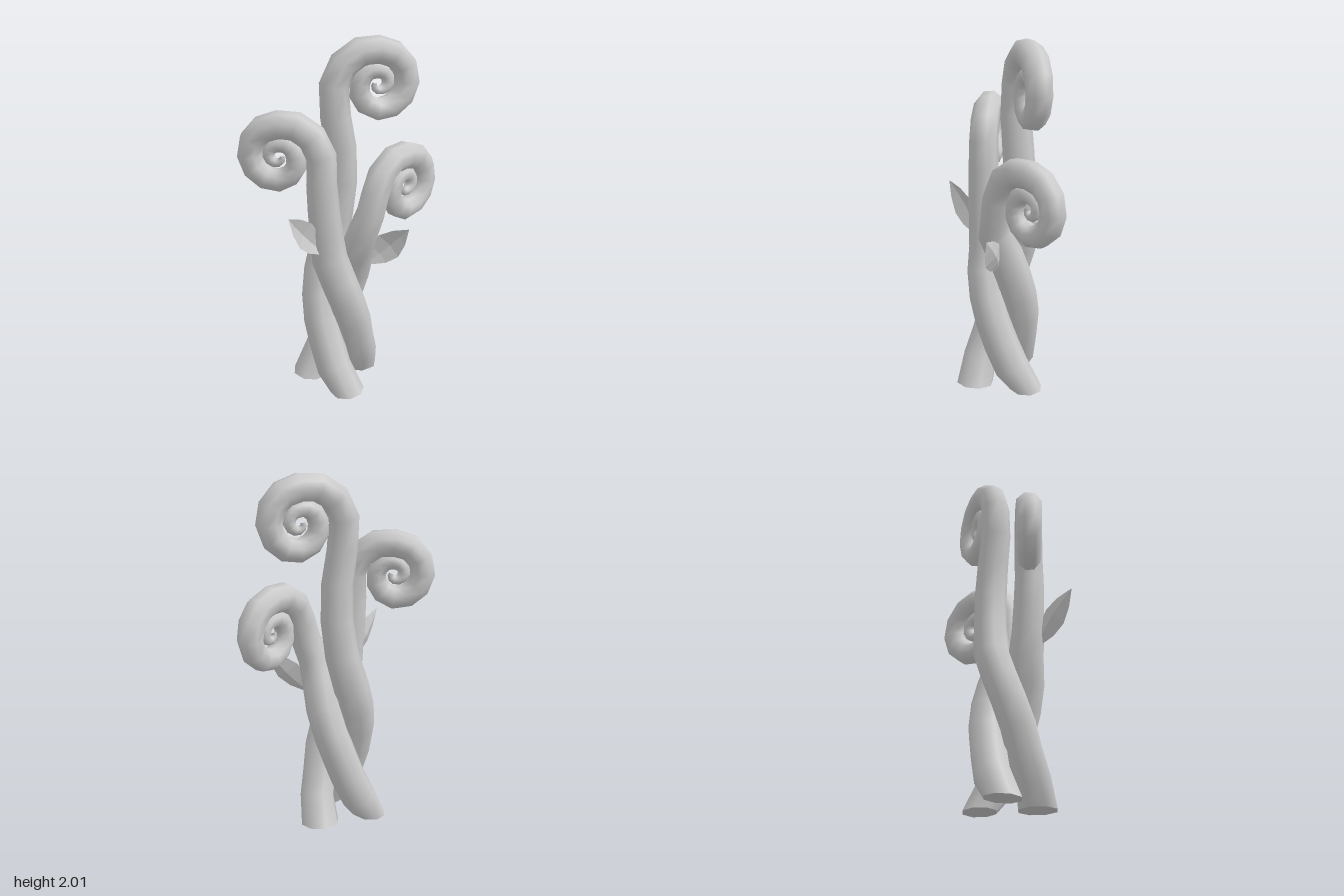
import * as THREE from 'three';

const material = new THREE.MeshStandardMaterial({ color: 0xcccccc });
const leafMaterial = new THREE.MeshStandardMaterial({ color: 0xcccccc, flatShading: true, side: THREE.DoubleSide });
const SIDES = 8;
// Curl radius at every quarter turn, from the outside in
const CURL = [0.24, 0.175, 0.16, 0.143, 0.1, 0.068, 0.055, 0.04, 0.018];
const CURL_STEPS = 24;

// Tube along the points, one ring per point, with its own radius at each ring
function taperedTube(points, radii) {
  const curve = new THREE.CatmullRomCurve3(points);
  curve.getPointAt = curve.getPoint;
  curve.getTangentAt = curve.getTangent;
  const geo = new THREE.TubeGeometry(curve, points.length - 1, 1, SIDES, false);
  const pos = geo.attributes.position;
  const v = new THREE.Vector3();
  for (let i = 0; i < pos.count; i++) {
    const ring = Math.floor(i / (SIDES + 1));
    v.fromBufferAttribute(pos, i).sub(points[ring]).multiplyScalar(radii[ring]).add(points[ring]);
    if (ring === 0) v.y = 0; // foot is cut level with the ground
    pos.setXYZ(i, v.x, v.y, v.z);
  }
  return geo;
}

// Flat cap closing the first ring of a tube
function footCap(tube) {
  const p = tube.attributes.position;
  const ring = [];
  for (let i = 0; i < SIDES; i++) ring.push(new THREE.Vector2(p.getX(i), p.getZ(i)));
  const geo = new THREE.ShapeGeometry(new THREE.Shape(ring));
  geo.rotateX(Math.PI / 2); // faces down
  return geo;
}

// Vine: twisted trunk, free stem, then an inward curl in the plane of "out"
function vine(name, { startAngle, stem, centre, out, scale }) {
  const points = [];
  const radii = [];
  for (let i = 0; i <= 6; i++) {
    const y = i * 0.135;
    const a = THREE.MathUtils.degToRad(startAngle + 200 * y);
    const spread = 0.108 + 0.067 * Math.max(0, 1 - y / 0.24);
    points.push(new THREE.Vector3(-0.04 + spread * Math.cos(a), y, -0.04 + spread * Math.sin(a)));
    radii.push(i === 0 ? 0.11 : 0.1);
  }
  stem.forEach((p, i) => {
    points.push(new THREE.Vector3(...p));
    radii.push(0.096 - 0.012 * (i + 1) / stem.length);
  });
  const c = new THREE.Vector3(...centre);
  const dir = new THREE.Vector3(...out).normalize();
  for (let i = 0; i <= CURL_STEPS; i++) {
    const t = i / CURL_STEPS;
    const q = t * (CURL.length - 1);
    const k = Math.min(Math.floor(q), CURL.length - 2);
    const r = scale * THREE.MathUtils.lerp(CURL[k], CURL[k + 1], q - k);
    const a = q * Math.PI / 2;
    const p = c.clone().addScaledVector(dir, -r * Math.cos(a));
    p.y += r * Math.sin(a);
    points.push(p);
    radii.push(0.012 + 0.07 * (1 - t ** 1.4));
  }
  const group = new THREE.Group();
  group.name = name;
  const tube = taperedTube(points, radii);
  const body = new THREE.Mesh(tube, material);
  body.name = name + 'Body';
  const cap = new THREE.Mesh(footCap(tube), material);
  cap.name = name + 'Foot';
  group.add(body, cap);
  return group;
}

// Pointed leaf folded along its midrib
function leaf(name, base, tip, side) {
  const b = new THREE.Vector3(...base);
  const axis = new THREE.Vector3(...tip).sub(b);
  const across = new THREE.Vector3(...side);
  const back = new THREE.Vector3().crossVectors(axis, across).normalize();
  if (back.z > 0) back.negate();
  const widths = [0.2, 0.8, 1, 0.65, 0];
  const geo = new THREE.PlaneGeometry(2, 4, 2, 4);
  const pos = geo.attributes.position;
  for (let i = 0; i < pos.count; i++) {
    const s = pos.getX(i);
    const row = Math.round(pos.getY(i) + 2);
    const w = widths[row];
    const v = b.clone().addScaledVector(axis, row / 4).addScaledVector(across, s * w);
    v.addScaledVector(back, s === 0 ? 0.025 * w : 0);
    pos.setXYZ(i, v.x, v.y, v.z);
  }
  geo.computeVertexNormals();
  const mesh = new THREE.Mesh(geo, leafMaterial);
  mesh.name = name;
  return mesh;
}

export function createModel() {
  const model = new THREE.Group();
  model.name = 'curledVines';
  model.add(
    vine('tallVine', {
      startAngle: 90, scale: 1.03,
      stem: [[-0.02, 1.0, -0.13], [0.005, 1.2, -0.12], [0.0, 1.4, -0.11], [-0.03, 1.58, -0.105]],
      centre: [0.21, 1.75, -0.105], out: [1, 0, 0.03],
    }),
    vine('rightVine', {
      startAngle: 210, scale: 1.02,
      stem: [[0.075, 0.94, 0.05], [0.12, 1.06, 0.055]],
      centre: [0.36, 1.16, -0.06], out: [0.88, 0, -0.47],
    }),
    vine('leftVine', {
      startAngle: -30, scale: 0.97,
      stem: [[-0.13, 0.95, 0.045], [-0.145, 1.1, 0.045], [-0.155, 1.26, 0.045]],
      centre: [-0.365, 1.41, -0.055], out: [-0.91, 0, -0.42],
    }),
    leaf('leftLeaf', [-0.165, 0.88, 0.09], [-0.38, 1.14, 0.19], [-0.042, -0.055, 0.03]),
    leaf('rightLeaf', [0.115, 0.755, 0.04], [0.31, 0.98, 0.16], [0.04, -0.05, 0.05]),
  );
  return model;
}
